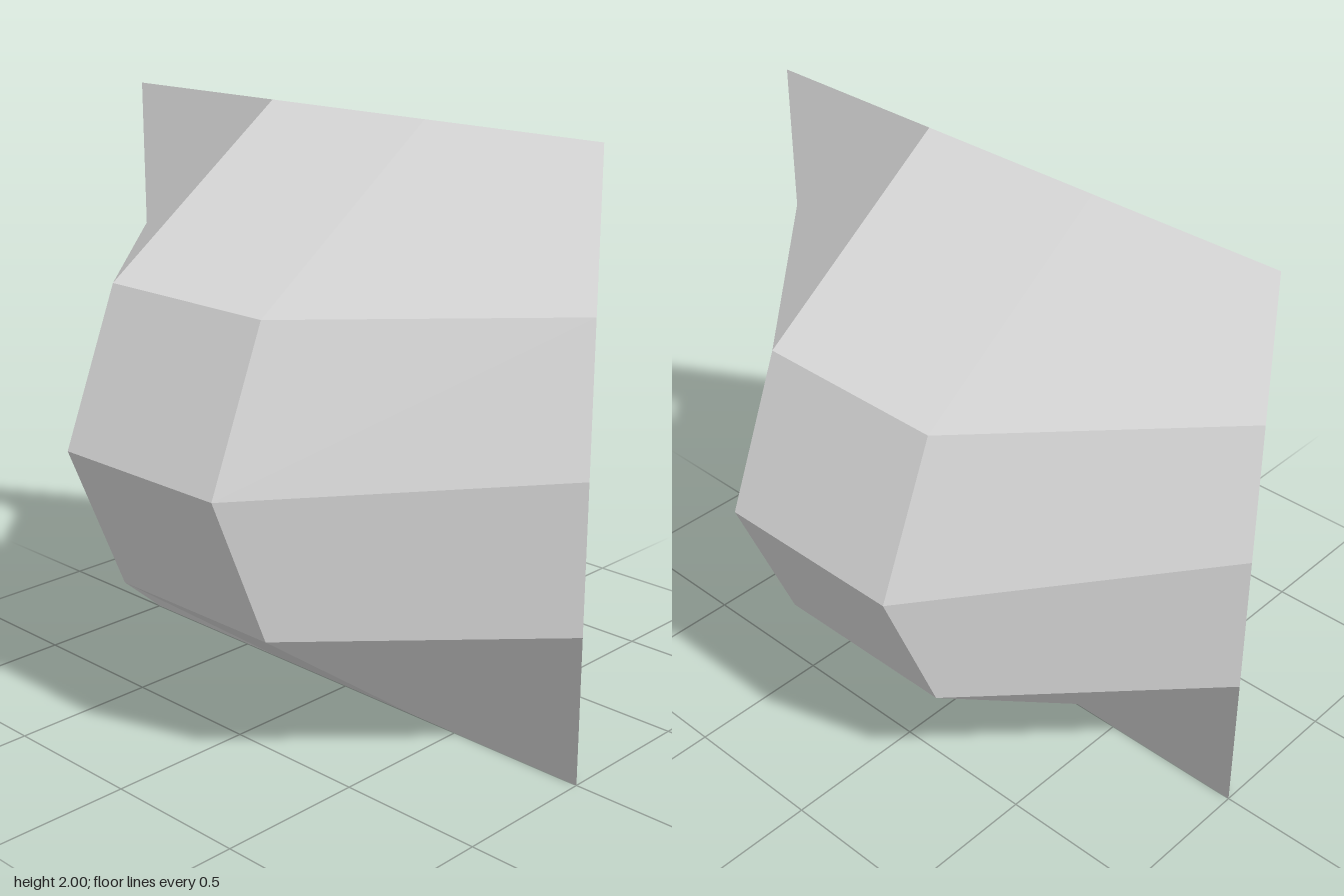
import * as THREE from 'three';

const stone = new THREE.MeshStandardMaterial({ color: 0xdddddd });
stone.name = 'pale grey';

const columns = [-1, -1 / 3, 1 / 3, 1];
const rows = [0, 0.5, 1, 1.5, 2];
const bulge = [0, 0.69, 0.893, 0.69, 0]; // depth of the two inner columns at each row

// One faceted half: a grid of quads, pinched to z = 0 all around its rim
function halfShell() {
  const point = (i, j) =>
    new THREE.Vector3(columns[i], rows[j], i === 0 || i === 3 ? 0 : bulge[j]);
  const positions = [];
  const normals = [];
  for (let j = 0; j < 4; j++) {
    for (let i = 0; i < 3; i++) {
      const a = point(i, j), b = point(i + 1, j);
      const c = point(i + 1, j + 1), d = point(i, j + 1);
      // Each quad gets one shared normal, so it shades as a single facet
      const n = c.clone().sub(a).cross(d.clone().sub(b)).normalize();
      for (const p of [a, b, c, a, c, d]) {
        positions.push(p.x, p.y, p.z);
        normals.push(n.x, n.y, n.z);
      }
    }
  }
  const geometry = new THREE.BufferGeometry();
  geometry.setAttribute('position', new THREE.Float32BufferAttribute(positions, 3));
  geometry.setAttribute('normal', new THREE.Float32BufferAttribute(normals, 3));
  return geometry;
}

export function createModel() {
  const model = new THREE.Group();
  model.name = 'facetedPillow';
  const geometry = halfShell();

  // The back half is the front half turned half a revolution
  ['frontHalf', 'backHalf'].forEach((name, k) => {
    const half = new THREE.Mesh(geometry, stone);
    half.name = name;
    half.rotation.y = k * Math.PI;
    model.add(half);
  });
  return model;
}
